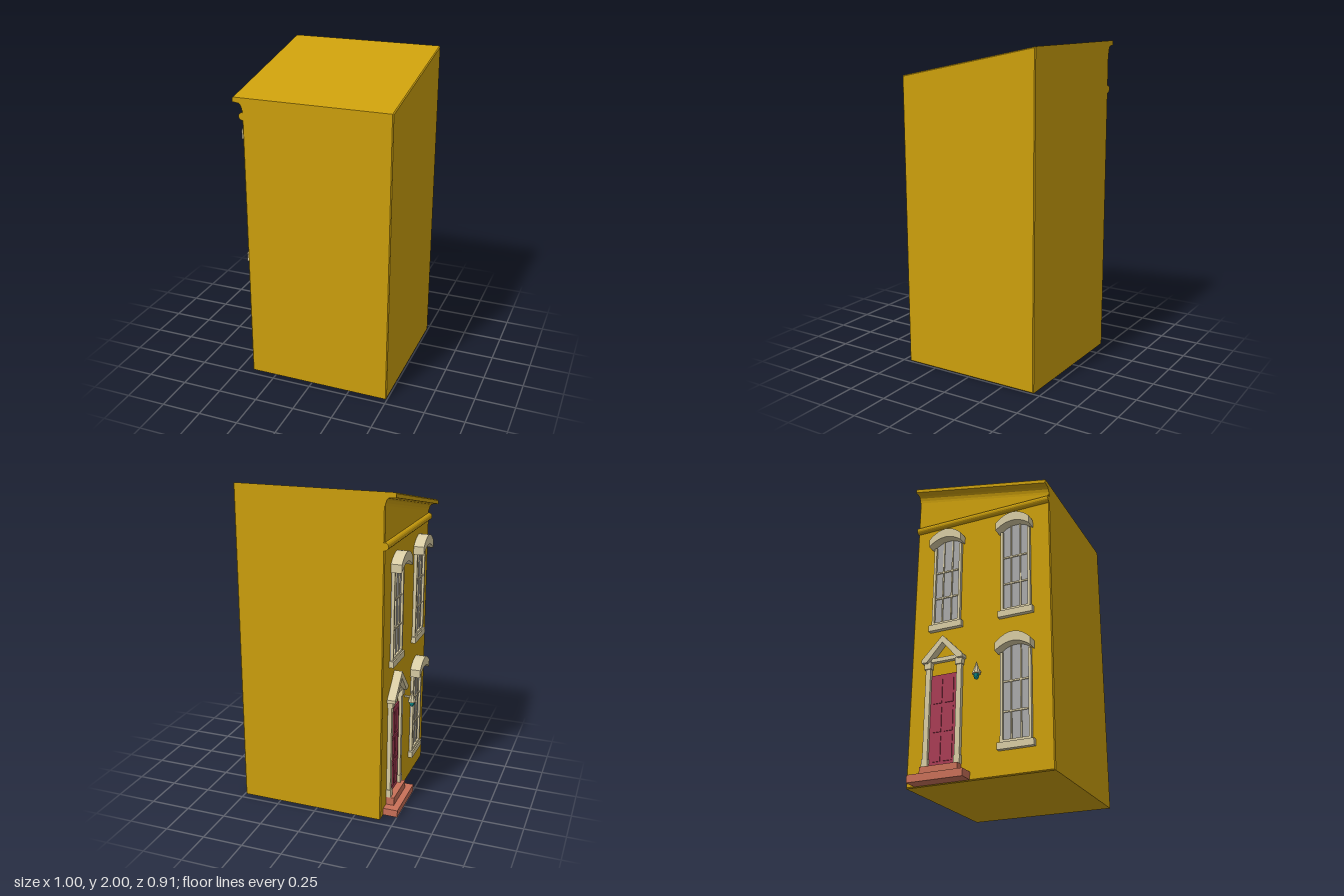
import * as THREE from 'three';

const mat = (color) => new THREE.MeshStandardMaterial({ color, flatShading: true });
const OCHRE = mat(0xcc9f0c), CREAM = mat(0xd8cca4), GLASS = mat(0xaaaaaa),
  RED = mat(0xa83c54), BRICK = mat(0xc87058), TEAL = mat(0x14a0a0);
const SLOPE = -0.19 / 0.91; // roof falls along the width of the facade

function mesh(parent, name, geo, material) {
  const m = new THREE.Mesh(geo, material);
  m.name = name;
  parent.add(m);
  return m;
}

// Box given by its width range, height range and depth range
function box(parent, name, material, u0, u1, y0, y1, d0, d1) {
  const m = mesh(parent, name, new THREE.BoxGeometry(u1 - u0, y1 - y0, d1 - d0), material);
  m.position.set((u0 + u1) / 2, (y0 + y1) / 2, (d0 + d1) / 2);
  return m;
}

function extrude(shape, depth, bevel = 0) {
  const g = new THREE.ExtrudeGeometry(shape, {
    depth: depth - 2 * bevel, curveSegments: 10, bevelEnabled: bevel > 0,
    bevelThickness: bevel, bevelSize: bevel, bevelOffset: -bevel, bevelSegments: 1,
  });
  return g.translate(0, 0, bevel);
}

const polygon = (pts) => new THREE.Shape(pts.map(([x, y]) => new THREE.Vector2(x, y)));

// Sash window with arched hood; local y = 0 is the bottom of the sill
function makeWindow(u, y) {
  const g = new THREE.Group();
  g.name = 'window';
  g.position.set(u, y, 0);
  const w = 0.095, top = 0.58;

  const pane = new THREE.Shape();
  pane.moveTo(-w, 0.03);
  pane.lineTo(w, 0.03);
  pane.lineTo(w, top);
  pane.quadraticCurveTo(0, top + 0.09, -w, top);
  mesh(g, 'glass', extrude(pane, 0.006), GLASS);

  for (const s of [-1, 1]) {
    box(g, 'frameSide', CREAM, s * (w - 0.008) - 0.008, s * (w - 0.008) + 0.008, 0.03, top, 0, 0.02);
    box(g, 'verticalBar', CREAM, s * 0.03 - 0.004, s * 0.03 + 0.004, 0.04, top + 0.035, 0, 0.013);
  }
  for (const h of [0.22, 0.4]) box(g, 'crossBar', CREAM, -w, w, h - 0.005, h + 0.005, 0, 0.013);
  box(g, 'sill', CREAM, -0.11, 0.11, 0, 0.04, 0, 0.028);
  box(g, 'bottomRail', CREAM, -w, w, 0.04, 0.055, 0, 0.02);

  const arch = new THREE.Shape();
  arch.moveTo(-0.11, 0.575);
  arch.quadraticCurveTo(0, 0.665, 0.11, 0.575);
  arch.lineTo(0.11, 0.625);
  arch.quadraticCurveTo(0, 0.735, -0.11, 0.625);
  mesh(g, 'archedHood', extrude(arch, 0.065), CREAM);
  return g;
}

// Panelled door between posts, under an open pediment, with two steps
function makeDoorway(u) {
  const g = new THREE.Group();
  g.name = 'doorway';
  g.position.x = u;
  box(g, 'lowerStep', BRICK, -0.175, 0.175, 0.005, 0.05, -0.005, 0.09);
  box(g, 'upperStep', BRICK, -0.12, 0.12, 0.05, 0.1, 0, 0.05);
  box(g, 'door', RED, -0.085, 0.085, 0.1, 0.66, 0, 0.008);
  for (const c of [-1, 1])
    for (let r = 0; r < 3; r++)
      box(g, 'doorPanel', RED, c * 0.037 - 0.027, c * 0.037 + 0.027, 0.13 + r * 0.175, 0.28 + r * 0.175, 0, 0.013);

  for (const s of [-1, 1]) {
    box(g, 'post', CREAM, s * 0.102 - 0.016, s * 0.102 + 0.016, 0.1, 0.71, 0, 0.024);
    box(g, 'postBase', CREAM, s * 0.102 - 0.02, s * 0.102 + 0.02, 0.1, 0.15, 0, 0.028);
    box(g, 'postCap', CREAM, s * 0.102 - 0.022, s * 0.102 + 0.022, 0.7, 0.745, 0, 0.032);
  }
  box(g, 'lintel', CREAM, -0.12, 0.12, 0.74, 0.765, 0, 0.025);
  const chevron = polygon([[-0.135, 0.735], [-0.1, 0.735], [0, 0.85], [0.1, 0.735],
    [0.135, 0.735], [0.135, 0.755], [0, 0.895], [-0.135, 0.755]]);
  mesh(g, 'pediment', extrude(chevron, 0.05), CREAM);
  return g;
}

// Wall lamp with a cone shade and coloured bulb
function makeLamp() {
  const g = new THREE.Group();
  g.name = 'wallLamp';
  g.position.set(0.005, 0, 0.05);
  mesh(g, 'shade', new THREE.ConeGeometry(0.027, 0.08, 8), CREAM).position.y = 0.645;
  const bulb = mesh(g, 'bulb', new THREE.SphereGeometry(0.017, 10, 8), TEAL);
  bulb.position.y = 0.595;
  bulb.scale.y = 1.4;
  box(g, 'bracket', CREAM, -0.005, 0.005, 0.63, 0.64, -0.05, 0);
  return g;
}

export function createModel() {
  const root = new THREE.Group();
  root.name = 'townHouse';

  // The street side is built facing +z, then turned to face -x
  const house = new THREE.Group();
  house.name = 'house';
  house.rotation.y = -Math.PI / 2;
  house.position.x = -0.415;
  root.add(house);

  const wall = polygon([[-0.455, 0], [0.455, 0], [0.455, 1.81], [-0.455, 2]]);
  const body = mesh(house, 'body', extrude(wall, 0.91, 0.006), OCHRE);
  body.position.z = -0.91;

  // Sloping cornice: profile in (depth, height), sheared to follow the roof
  const profile = polygon([[-0.02, 0], [0.053, 0], [0.06, -0.006], [0.06, -0.028], [0.018, -0.033],
    [0.008, -0.043], [0.002, -0.06], [0, -0.075], [-0.02, -0.075]]);
  const cornice = extrude(profile, 0.91).rotateY(-Math.PI / 2).translate(0.455, 0, 0);
  const p = cornice.attributes.position;
  for (let i = 0; i < p.count; i++) p.setY(i, p.getY(i) + 1.905 + SLOPE * p.getX(i));
  cornice.computeVertexNormals();
  mesh(house, 'cornice', cornice, OCHRE);

  // Rounded string course
  const band = new THREE.CylinderGeometry(0.023, 0.023, 0.91, 16).rotateZ(Math.PI / 2);
  mesh(house, 'stringCourse', band, OCHRE).position.y = 1.7;

  for (const [u, y] of [[-0.225, 0.95], [0.235, 0.95], [0.235, 0.145]]) house.add(makeWindow(u, y));
  house.add(makeDoorway(-0.225), makeLamp());
  return root;
}
